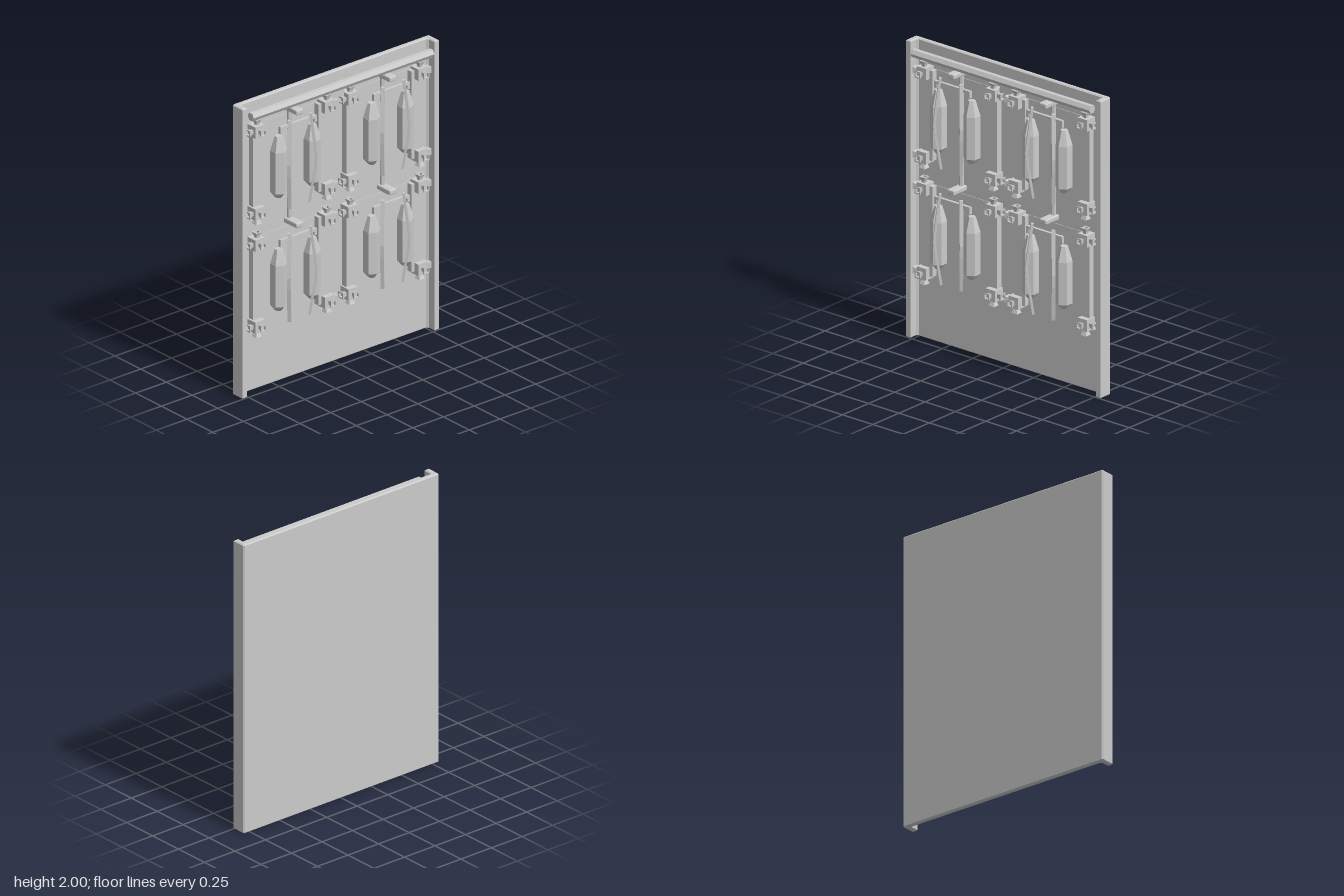
import * as THREE from 'three';
import { RoundedBoxGeometry } from 'three/addons/geometries/RoundedBoxGeometry.js';

const grey = new THREE.MeshStandardMaterial({ color: 0xcccccc, flatShading: true });
const BACK = -0.066; // front face of the wall panel

function add(parent, name, geometry, x = 0, y = 0, z = 0) {
  const mesh = new THREE.Mesh(geometry, grey);
  mesh.name = name;
  mesh.position.set(x, y, z);
  parent.add(mesh);
  return mesh;
}

// Box given by its z range
function slab(parent, name, w, h, z0, z1, x, y) {
  return add(parent, name, new THREE.BoxGeometry(w, h, z1 - z0), x, y, (z0 + z1) / 2);
}

// Lathe from [radius, height] pairs
function lathe(points, sides, phase = 0) {
  return new THREE.LatheGeometry(points.map(([r, y]) => new THREE.Vector2(r, y)), sides, phase);
}

// Channel-shaped wall panel with bevelled edges
function wallPanel() {
  const s = new THREE.Shape();
  const half = [[0.8, 0], [0.8, 0.092], [0.792, 0.1]];
  const inner = [[0.75, -BACK], [0.762, -BACK - 0.012], [0.762, 0]];
  const outline = [
    ...half,
    ...half.slice().reverse().map(([x, y]) => [-x, y]),
    ...inner.slice().reverse().map(([x, y]) => [-x, y]),
    ...inner,
  ];
  outline.forEach(([x, y], i) => (i ? s.lineTo(x, y) : s.moveTo(x, y)));
  const b = 0.007;
  const g = new THREE.ExtrudeGeometry(s, {
    depth: 2 - 2 * b, bevelThickness: b, bevelSize: b, bevelOffset: -b, bevelSegments: 1,
  });
  return g.translate(0, 0, b).rotateX(-Math.PI / 2);
}

// Square socket that flares outwards along +y, with a recessed end
function socketGeometry(length) {
  const q = Math.SQRT2;
  return lathe([[0.012 * q, 0], [0.014 * q, length * 0.35], [0.023 * q, length],
    [0.014 * q, length], [0.013 * q, length * 0.6], [0, length * 0.6]], 4, Math.PI / 4);
}

// Corner clamp with sockets to the front and to both outer sides
function cornerClamp(sx, sy) {
  const clamp = new THREE.Group();
  clamp.name = 'cornerClamp';
  slab(clamp, 'clampBlock', 0.078, 0.078, BACK, 0.012, 0, 0);
  const front = add(clamp, 'frontSocket', socketGeometry(0.036), 0, 0, 0.012);
  front.rotation.x = Math.PI / 2;
  const side = add(clamp, 'sideSocket', socketGeometry(0.038), sx * 0.039, 0, -0.02);
  side.rotation.z = -sx * Math.PI / 2;
  const end = add(clamp, 'endSocket', socketGeometry(0.038), 0, sy * 0.039, -0.02);
  if (sy < 0) end.rotation.z = Math.PI;
  return clamp;
}

// Bowed bar: a bent strip that bulges along its own +x
function bowedBar() {
  const pts = [[0, 0.305], [0.02, 0.15], [0.036, 0.01], [0.03, -0.07], [-0.006, -0.305]];
  const t = 0.008;
  const s = new THREE.Shape();
  pts.forEach(([u, y], i) => (i ? s.lineTo(u - t, y) : s.moveTo(u - t, y)));
  pts.slice().reverse().forEach(([u, y]) => s.lineTo(u + t, y));
  return new THREE.ExtrudeGeometry(s, { depth: 0.024, bevelEnabled: false }).translate(0, 0, -0.012);
}

// One equipment bay, centred on its backing plate
function bay() {
  const g = new THREE.Group();
  g.name = 'bay';
  slab(g, 'backingPlate', 0.57, 0.605, BACK - 0.01, BACK + 0.004, 0, 0);
  // Pipe above the bottles
  slab(g, 'crossPipe', 0.29, 0.02, 0.028, 0.048, 0, 0.272);
  for (const sx of [-1, 1]) {
    slab(g, 'sideRail', 0.09, 0.605, BACK, -0.025, sx * 0.265, 0);
    for (const sy of [-1, 1]) {
      const clamp = cornerClamp(sx, sy);
      clamp.position.set(sx * 0.284, sy * 0.283, 0);
      g.add(clamp);
    }
    // Six-sided bottle with tapered ends, one edge to the front
    add(g, 'bottle', lathe([[0, -0.208], [0.024, -0.208], [0.054, -0.172], [0.054, 0.112],
      [0.025, 0.212], [0, 0.212]], 6), sx * 0.137, 0, 0.015);
    slab(g, 'pipeEnd', 0.02, 0.045, 0.028, 0.048, sx * 0.137, 0.257);
    const bar = add(g, 'bowedBar', bowedBar(), sx * 0.086, 0.013, 0.059);
    bar.rotation.y = sx > 0 ? -Math.PI / 4 : -Math.PI * 0.75;
  }
  return g;
}

export function createModel() {
  const model = new THREE.Group();
  model.name = 'equipmentWall';
  add(model, 'wallPanel', wallPanel());

  // Six-sided rail along the top
  const rail = add(model, 'topRail', new THREE.CylinderGeometry(0.029, 0.029, 1.47, 6), 0, 1.93, 0.004);
  rail.rotation.z = Math.PI / 2;

  // Round boss under the rail
  const boss = add(model, 'roundBoss', new THREE.CylinderGeometry(0.058, 0.058, 0.034, 24), 0, 1.845, BACK + 0.016);
  boss.rotation.x = Math.PI / 2;

  for (const x of [-0.381, 0.376]) {
    for (const y of [1.528, 0.749]) {
      const b = bay();
      b.position.set(x, y, 0);
      model.add(b);
    }
    // Upright rod between two rounded end brackets
    add(model, 'uprightRod', new THREE.CylinderGeometry(0.016, 0.016, 0.78, 6), x, 1.488, -0.044);
    for (const y of [1.877, 1.098]) {
      add(model, 'rodBracket', new RoundedBoxGeometry(0.058, 0.036, 0.13, 2, 0.009), x, y, -0.003);
    }
  }
  return model;
}
